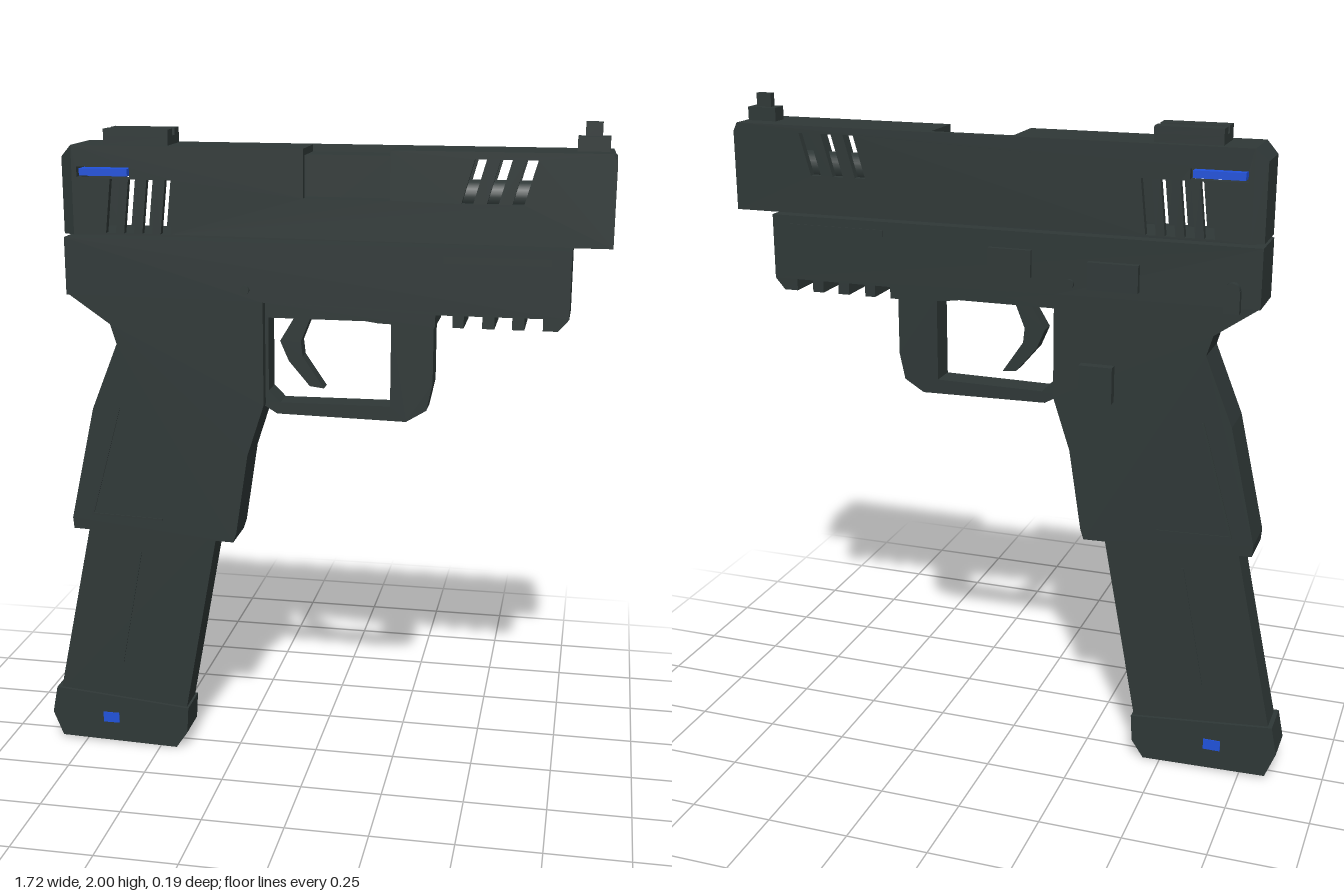
import * as THREE from 'three';

const gunmetal = new THREE.MeshStandardMaterial({ color: 0x2f3837 });
gunmetal.name = 'gunmetal';
const blue = new THREE.MeshStandardMaterial({ color: 0x2052dc });
blue.name = 'blue accent';

const ZC = 0.006; // middle plane of the body

export function createModel() {
  const root = new THREE.Group();
  root.name = 'pistol';

  const add = (name, geo, mat = gunmetal) => {
    const mesh = new THREE.Mesh(geo, mat);
    mesh.name = name;
    root.add(mesh);
    return mesh;
  };
  // Box given by its limits
  const box = (name, x0, x1, y0, y1, z0, z1, mat) => {
    const m = add(name, new THREE.BoxGeometry(x1 - x0, y1 - y0, z1 - z0), mat);
    m.position.set((x0 + x1) / 2, (y0 + y1) / 2, (z0 + z1) / 2);
    return m;
  };
  const toV = (pts) => pts.map(([x, y]) => new THREE.Vector2(x, y));
  // Side profile extruded from z0 to z1
  const slab = (name, pts, z0, z1, holes = [], mat) => {
    const shape = new THREE.Shape(toV(pts));
    holes.forEach((h) => shape.holes.push(new THREE.Path(toV(h))));
    const geo = new THREE.ExtrudeGeometry(shape, { depth: z1 - z0, bevelEnabled: false });
    const m = add(name, geo, mat);
    m.position.z = z0;
    return m;
  };
  const centred = (name, pts, half, holes) => slab(name, pts, ZC - half, ZC + half, holes);

  // ---- Slide: hollow shell with slanted vents ----
  const zOut = 0.0875, zIn = 0.066;
  const vents = [[[-0.695, 1.828], [-0.535, 1.828], [-0.535, 1.858], [-0.695, 1.858]]];
  for (let i = 0; i < 4; i++) {
    const x = -0.611 + i * 0.0555;
    vents.push([[x, 1.667], [x + 0.03, 1.667], [x + 0.047, 1.824], [x + 0.017, 1.824]]);
  }
  for (let i = 0; i < 3; i++) {
    const x = 0.432 + i * 0.071;
    vents.push([[x, 1.775], [x + 0.033, 1.775], [x + 0.068, 1.899], [x + 0.035, 1.899]]);
  }
  const front = [[-0.71, 1.66], [0.857, 1.66], [0.857, 1.895], [0.845, 1.92]];
  slab('slideWallRight', [...front, [-0.71, 1.92]], ZC - zOut, ZC - zIn, vents);
  slab('slideWallPort', [...front, [0.23, 1.92], [0.23, 1.78], [-0.02, 1.78], [-0.02, 1.92], [-0.71, 1.92]],
    ZC + zIn, ZC + zOut, vents);
  box('slideTopRear', -0.71, -0.02, 1.9, 1.92, ZC - zIn, ZC + zIn);
  box('slideTopFront', 0.23, 0.845, 1.9, 1.92, ZC - zIn, ZC + zIn);
  box('slideFloor', -0.71, 0.857, 1.66, 1.667, ZC - zIn, ZC + zIn);

  // Rear cap, chamfered on its outer edges
  const cap = box('slideRearCap', -0.745, -0.71, 1.66, 1.92, ZC - zOut, ZC + zOut);
  const p = cap.geometry.attributes.position;
  for (let i = 0; i < p.count; i++) {
    if (p.getX(i) > 0) continue;
    p.setZ(i, p.getZ(i) * 0.8);
    if (p.getY(i) > 0) p.setY(i, p.getY(i) - 0.035);
  }
  cap.geometry.computeVertexNormals();

  // Muzzle plate with bore
  const plate = new THREE.Shape(toV([[-zIn, 1.667], [zIn, 1.667], [zIn, 1.905], [-zIn, 1.905]]));
  plate.holes.push(new THREE.Path().absarc(0, 1.79, 0.04, 0, Math.PI * 2, true));
  const muzzle = add('muzzlePlate',
    new THREE.ExtrudeGeometry(plate, { depth: 0.04, bevelEnabled: false, curveSegments: 16 }));
  muzzle.rotation.y = Math.PI / 2;
  muzzle.position.set(0.816, 0, ZC);

  // Barrel and chamber block in the ejection port
  const barrel = add('barrel', new THREE.CylinderGeometry(0.045, 0.045, 0.6, 24));
  barrel.rotation.z = Math.PI / 2;
  barrel.position.set(0.53, 1.79, ZC);
  box('chamberHood', -0.02, 0.23, 1.7, 1.9, ZC - zIn, 0.04);
  box('chamberBase', -0.02, 0.23, 1.667, 1.78, ZC - zIn, ZC + zIn);
  box('blueBar', -0.688, -0.542, 1.832, 1.853, ZC - 0.086, ZC + 0.086, blue);

  // Sights
  box('rearSightBase', -0.62, -0.425, 1.92, 1.945, -0.058, 0.062);
  box('rearSightEar', -0.62, -0.425, 1.945, 1.965, -0.058, -0.012);
  box('rearSightEar', -0.62, -0.425, 1.945, 1.965, 0.012, 0.062);
  box('frontSightBase', 0.745, 0.835, 1.92, 1.96, -0.024, 0.028);
  box('frontSightPost', 0.765, 0.812, 1.96, 2.0, -0.01, 0.012);

  // ---- Frame with rail teeth ----
  const rail = [[0.357, 1.42], [0.365, 1.42], [0.365, 1.455]];
  for (const [a, b] of [[0.415, 0.447], [0.5, 0.535], [0.585, 0.62]]) {
    rail.push([a, 1.455], [a, 1.42], [b, 1.42], [b, 1.455]);
  }
  rail.push([0.672, 1.455], [0.672, 1.42], [0.715, 1.42], [0.745, 1.455]);
  centred('frame', [[-0.745, 1.65], [-0.745, 1.478], [-0.15, 1.475], [0.2, 1.425], ...rail, [0.745, 1.65]], 0.08);

  // ---- Grip ----
  centred('grip', [[-0.745, 1.48], [-0.615, 1.39], [-0.597, 1.33], [-0.68, 1.125], [-0.76, 0.77], [-0.757, 0.735],
    [-0.245, 0.72], [-0.235, 0.75], [-0.197, 1.0], [-0.145, 1.16], [-0.145, 1.48]], 0.071);

  // ---- Trigger guard and trigger ----
  centred('triggerGuard', [[-0.16, 1.47], [-0.16, 1.16], [-0.11, 1.13], [0.28, 1.123], [0.34, 1.16], [0.357, 1.24],
    [0.357, 1.45], [0.2, 1.47]], 0.04,
  [[[-0.135, 1.422], [0.232, 1.422], [0.232, 1.168], [-0.1, 1.165], [-0.135, 1.2]]]);
  centred('trigger', [[-0.055, 1.43], [-0.008, 1.43], [-0.04, 1.35], [-0.035, 1.305], [0.03, 1.21], [-0.013, 1.215],
    [-0.077, 1.29], [-0.103, 1.35]], 0.024);

  // ---- Magazine ----
  centred('magazine', [[-0.71, 0.75], [-0.3, 0.75], [-0.412, 0.14], [-0.835, 0.16]], 0.05);
  centred('magazineBase', [[-0.845, 0.178], [-0.405, 0.14], [-0.41, 0.055], [-0.447, 0], [-0.83, 0.01],
    [-0.862, 0.09]], 0.06);

  // ---- Details mirrored on both sides ----
  for (const s of [-1, 1]) {
    const skin = (name, pts, half, mat) => {
      const z = ZC + s * half;
      slab(name, pts, z - 0.003, z + 0.003, [], mat);
    };
    skin('blueMark', [[-0.69, 0.07], [-0.637, 0.07], [-0.637, 0.104], [-0.69, 0.104]], 0.06, blue);
    skin('magazineRib', [[-0.552, 0.66], [-0.546, 0.66], [-0.618, 0.28], [-0.624, 0.28]], 0.05);
    skin('gripLine', [[-0.6, 1.13], [-0.594, 1.13], [-0.689, 0.79], [-0.47, 0.783], [-0.47, 0.777],
      [-0.697, 0.784]], 0.071);
    skin('railLine', [[0.385, 1.605], [0.69, 1.605], [0.69, 1.625], [0.385, 1.625]], 0.08);
  }
  const pin = add('framePin', new THREE.CylinderGeometry(0.013, 0.013, 0.178, 16));
  pin.rotation.x = Math.PI / 2;
  pin.position.set(-0.195, 1.51, ZC);

  // ---- Controls on the right side ----
  box('slideCatch', -0.4, -0.25, 1.5, 1.58, -0.093, -0.07);
  box('takedownLever', -0.08, 0.05, 1.52, 1.6, -0.087, -0.07);
  box('magazineRelease', -0.33, -0.23, 1.165, 1.275, -0.093, -0.06);
  box('safetyLever', -0.69, -0.645, 1.465, 1.53, -0.095, -0.07);
  const pivot = add('safetyPivot', new THREE.CylinderGeometry(0.022, 0.022, 0.03, 16));
  pivot.rotation.x = Math.PI / 2;
  pivot.position.set(-0.667, 1.53, -0.08);

  return root;
}
